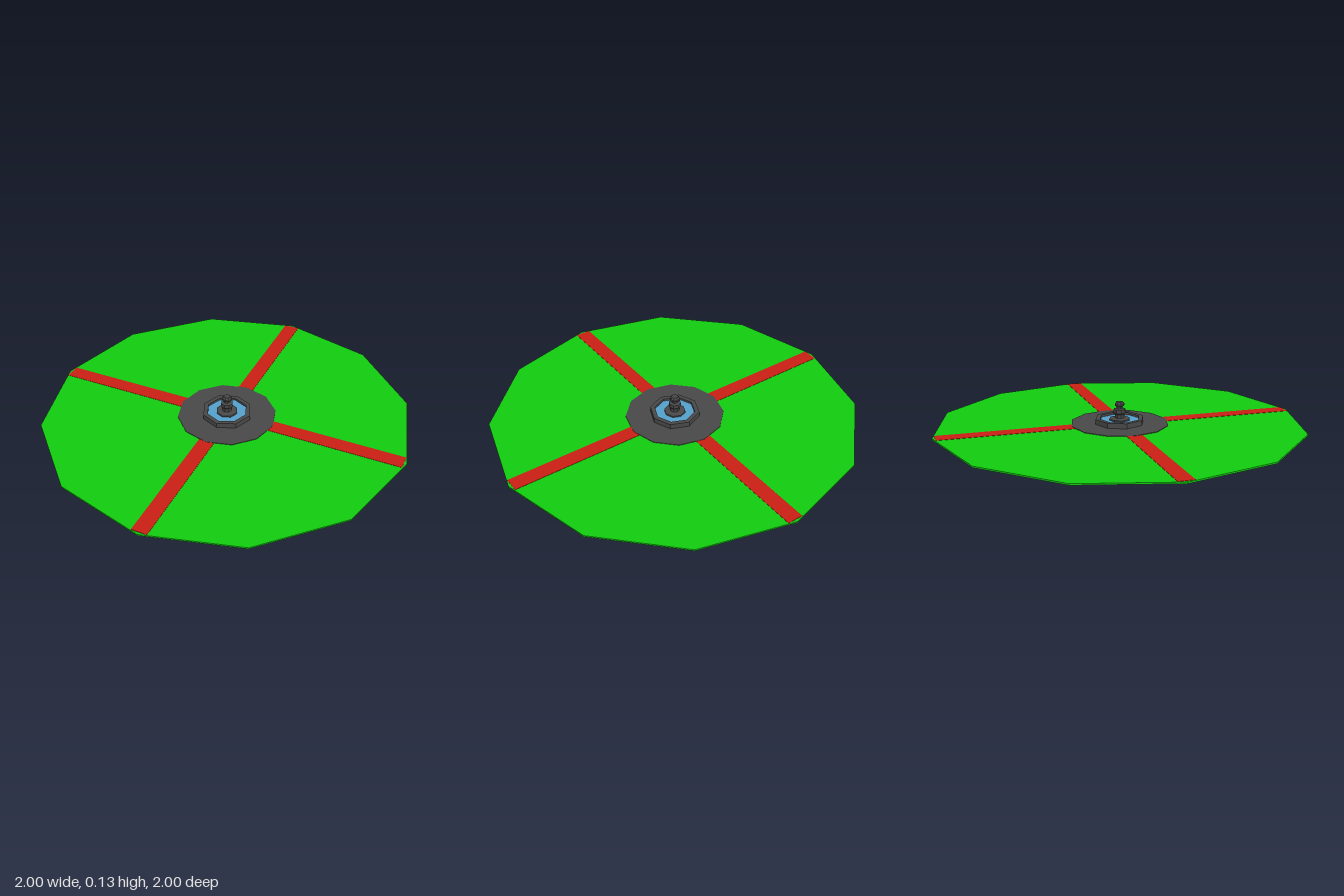
import * as THREE from 'three';

const material = (color) => new THREE.MeshStandardMaterial({ color, flatShading: true, side: THREE.DoubleSide });

export function createModel() {
  const root = new THREE.Group();
  root.name = 'fountainPark';
  const grass = material(0x12cc10);
  const path = material(0xc81e14);
  const stone = material(0x484848);
  const water = material(0x55a0cc);

  const add = (name, geometry, mat, x = 0, y = 0, z = 0) => {
    const mesh = new THREE.Mesh(geometry, mat);
    mesh.name = name;
    mesh.position.set(x, y, z);
    root.add(mesh);
    return mesh;
  };
  const lathe = (points, sides) =>
    new THREE.LatheGeometry(points.map(([r, y]) => new THREE.Vector2(r, y)), sides);

  // twelve-sided lawn
  add('lawn', new THREE.CylinderGeometry(1, 1, 0.008, 12), grass, 0, 0.005, 0);

  // four paths from the plaza to the edge, showing through both faces
  const inner = 0.21, outer = 0.985;
  for (let i = 0; i < 4; i++) {
    const a = (i * Math.PI) / 2, r = (inner + outer) / 2;
    const strip = add('path', new THREE.BoxGeometry(0.085, 0.0105, outer - inner), path,
      Math.sin(a) * r, 0.00525, Math.cos(a) * r);
    strip.rotation.y = a;
  }

  // paved plaza
  add('plaza', new THREE.CylinderGeometry(0.267, 0.267, 0.008, 12), stone, 0, 0.008, 0);

  // octagonal basin with a raised rim
  add('basin', lathe([[0.135, 0.01], [0.135, 0.04], [0.11, 0.04], [0.11, 0.012]], 8), stone);

  // water surface
  add('water', new THREE.CylinderGeometry(0.111, 0.111, 0.016, 8), water, 0, 0.02, 0);

  // stepped pedestal and spout
  add('spout', lathe([
    [0.058, 0.012], [0.058, 0.036], [0.026, 0.04], [0.026, 0.06], [0.033, 0.068],
    [0.033, 0.088], [0.016, 0.092], [0.016, 0.102], [0.027, 0.108],
    [0.027, 0.117], [0.018, 0.128], [0, 0.128],
  ], 8), stone);

  return root;
}
